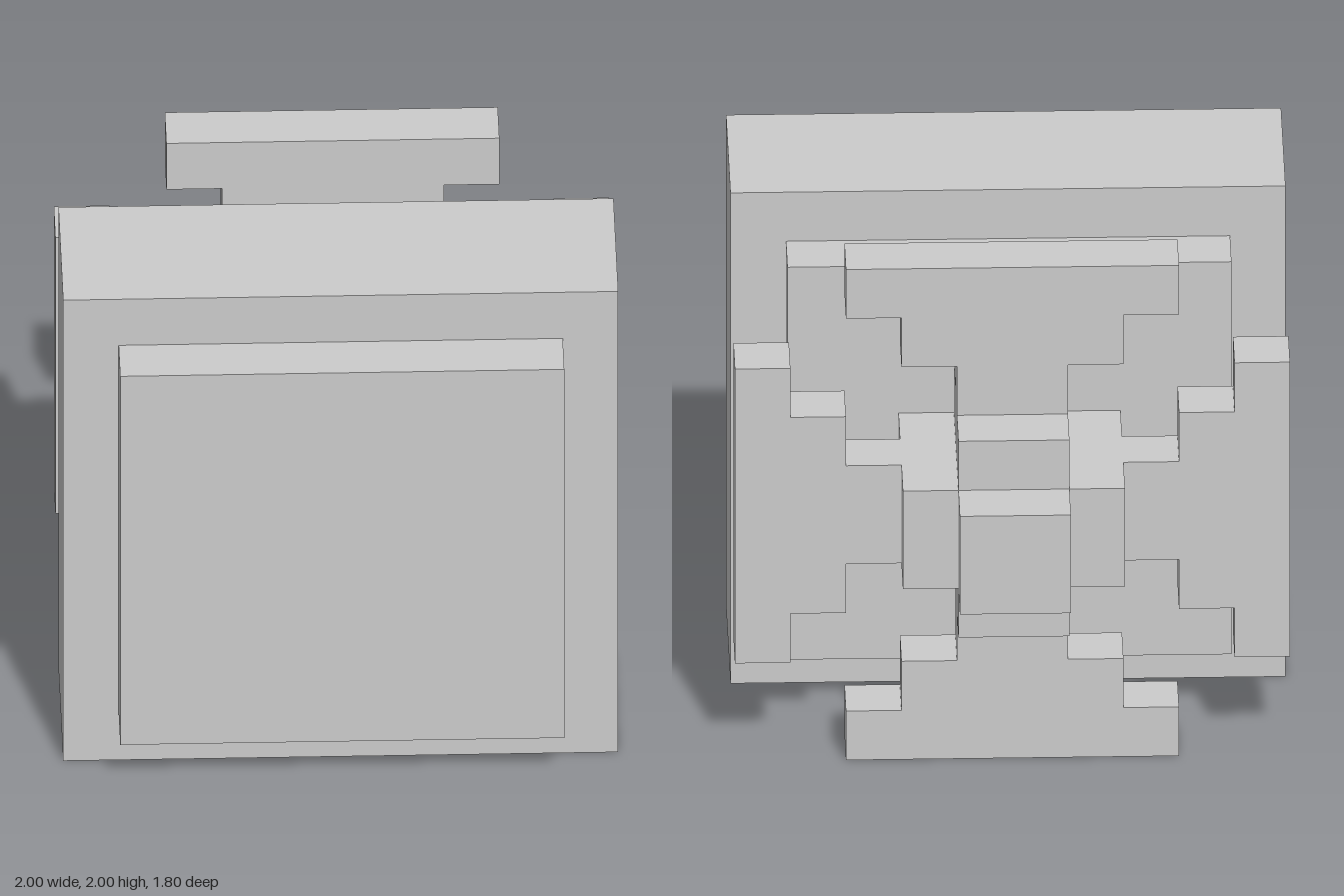
import * as THREE from 'three';

const material = new THREE.MeshStandardMaterial({ color: 0xcccccc, flatShading: true });

// Square slab centred on the axis, spanning zBack..zFront
function slab(name, size, zBack, zFront) {
  const mesh = new THREE.Mesh(new THREE.BoxGeometry(size, size, zFront - zBack), material);
  mesh.name = name;
  mesh.position.set(0, 1, (zBack + zFront) / 2);
  return mesh;
}

// Extruded layer whose quarter outline is repeated by four quarter turns
function fourfold(name, quarter, zBack, zFront) {
  const points = [];
  for (let turn = 0; turn < 4; turn++) {
    for (const [x, y] of quarter) {
      const p = new THREE.Vector2(x, y);
      for (let i = 0; i < turn; i++) p.set(-p.y, p.x);
      points.push(p);
    }
  }
  const geometry = new THREE.ExtrudeGeometry(new THREE.Shape(points), {
    depth: zFront - zBack,
    bevelEnabled: false,
  });
  const mesh = new THREE.Mesh(geometry, material);
  mesh.name = name;
  mesh.position.set(0, 1, zBack);
  return mesh;
}

export function createModel() {
  const group = new THREE.Group();
  group.name = 'blockWithRotor';

  // Main block with a raised panel on each side
  group.add(slab('body', 2, 0.1, 0.7));
  group.add(slab('frontPanel', 1.6, 0.7, 0.9));
  group.add(slab('backPanel', 1.6, -0.1, 0.1));

  // Plus-shaped hub on both sides of the blades
  const plus = [[0.4, 0.2], [0.2, 0.2], [0.2, 0.4]];
  group.add(fourfold('innerHub', plus, -0.3, -0.1));
  group.add(fourfold('outerHub', plus, -0.7, -0.5));

  // Four stepped blades that widen towards their tips
  const blade = [
    [1, 0.6], [0.8, 0.6], [0.8, 0.4], [0.6, 0.4], [0.6, 0.2], [0.2, 0.2],
    [0.2, 0.6], [0.4, 0.6], [0.4, 0.8], [0.6, 0.8], [0.6, 1],
  ];
  group.add(fourfold('blades', blade, -0.5, -0.3));

  // Square cap at the end of the hub
  group.add(slab('hubCap', 0.4, -0.9, -0.7));

  return group;
}
